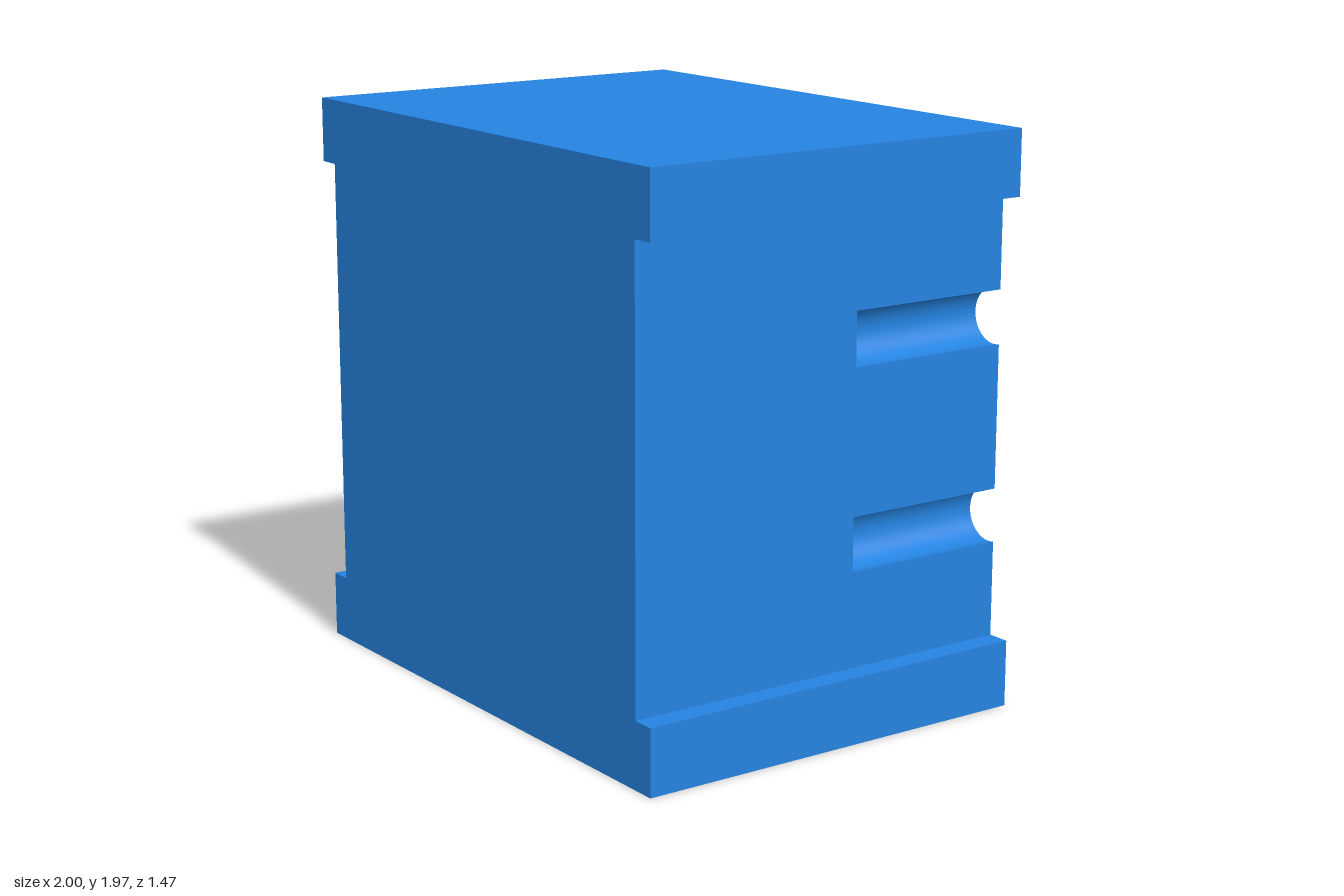
import * as THREE from 'three';
import { toCreasedNormals } from 'three/addons/utils/BufferGeometryUtils.js';

const BACK = -0.735, FRONT = 0.735, HEIGHT = 1.97;
const ROWS = [0.652, 1.333];        // heights of the side grooves and slots
const GROOVE_X = 0.896, GROOVE_R = 0.0957, GROOVE_END = -0.125;
const SLOT = 0.032;                 // half width of the back slots
const WALL = 0.845;                 // inner half width

const v = (x, y) => new THREE.Vector2(x, y);

// Points of an arc from angle a to b
function arc(cx, cy, r, a, b, n = 24) {
  return Array.from({ length: n + 1 }, (_, i) => {
    const t = a + (b - a) * i / n;
    return v(cx + r * Math.cos(t), cy + r * Math.sin(t));
  });
}

// Grooves bitten out of an upright edge at x, listed from bottom to top
function bites(x, r) {
  const a = Math.acos((x - GROOVE_X) / r);
  return ROWS.flatMap(y => arc(GROOVE_X, y, r, -a, a - 2 * Math.PI));
}

// Closed outline from its +x half, listed from bottom to top
const mirrored = half => [...half, ...half.map(p => v(-p.x, p.y)).reverse()];

const outline = grooved => mirrored([
  v(1, 0), v(1, 0.23), v(0.92, 0.23),
  ...(grooved ? bites(0.92, GROOVE_R) : []),
  v(0.92, 1.745), v(1, 1.745), v(1, HEIGHT),
]);

const cavity = bumped => mirrored([
  v(WALL, 0.12), ...(bumped ? bites(WALL, 0.145) : []), v(WALL, 1.85),
]);

// Upright slot crossed by two level slots, all with round ends
function crossSlots() {
  const half = [
    ...arc(0, 0.12 + SLOT, SLOT, -Math.PI / 2, 0, 8),
    ...ROWS.flatMap(y => [
      v(SLOT, y - SLOT),
      ...arc(0.79 - SLOT, y, SLOT, -Math.PI / 2, Math.PI / 2, 12),
      v(SLOT, y + SLOT),
    ]),
    ...arc(0, 1.85 - SLOT, SLOT, 0, Math.PI / 2, 8),
  ];
  half[0].x = half[half.length - 1].x = 0.001;
  return mirrored(half);
}

function windowHole(x, y) {
  const w = 0.153, h = 0.057;
  return [v(x - w, y - h), v(x + w, y - h), v(x + w, y + h), v(x - w, y + h)];
}

export function createModel() {
  const group = new THREE.Group();
  const material = new THREE.MeshStandardMaterial({ color: 0x2583e0 });

  const slab = (name, z0, z1, points, holes = []) => {
    const shape = new THREE.Shape(points);
    shape.holes = holes.map(h => new THREE.Path(h));
    const geometry = new THREE.ExtrudeGeometry(shape, { depth: z1 - z0, bevelEnabled: false });
    geometry.translate(0, 0, z0);
    const mesh = new THREE.Mesh(toCreasedNormals(geometry, 0.5), material);
    mesh.name = name;
    group.add(mesh);
  };

  // Hollow case, from front to back
  const frontInner = FRONT - 0.12, bumpEnd = GROOVE_END + 0.05, backInner = BACK + 0.02;
  slab('frontPanel', frontInner, FRONT, outline(false));
  slab('frontCase', bumpEnd, frontInner, outline(false), [cavity(false)]);
  slab('grooveEnds', GROOVE_END, bumpEnd, outline(false), [cavity(true)]);
  slab('groovedCase', backInner, GROOVE_END, outline(true), [cavity(true)]);

  // Thin back panel with slots, three windows on one side and two on the other
  const windows = [[0.53, 0.32], [0.53, 0.993], [0.53, 1.672], [-0.53, 0.32], [-0.53, 0.993]];
  slab('backPanel', BACK, backInner, outline(true),
    [crossSlots(), ...windows.map(([x, y]) => windowHole(x, y))]);

  return group;
}
